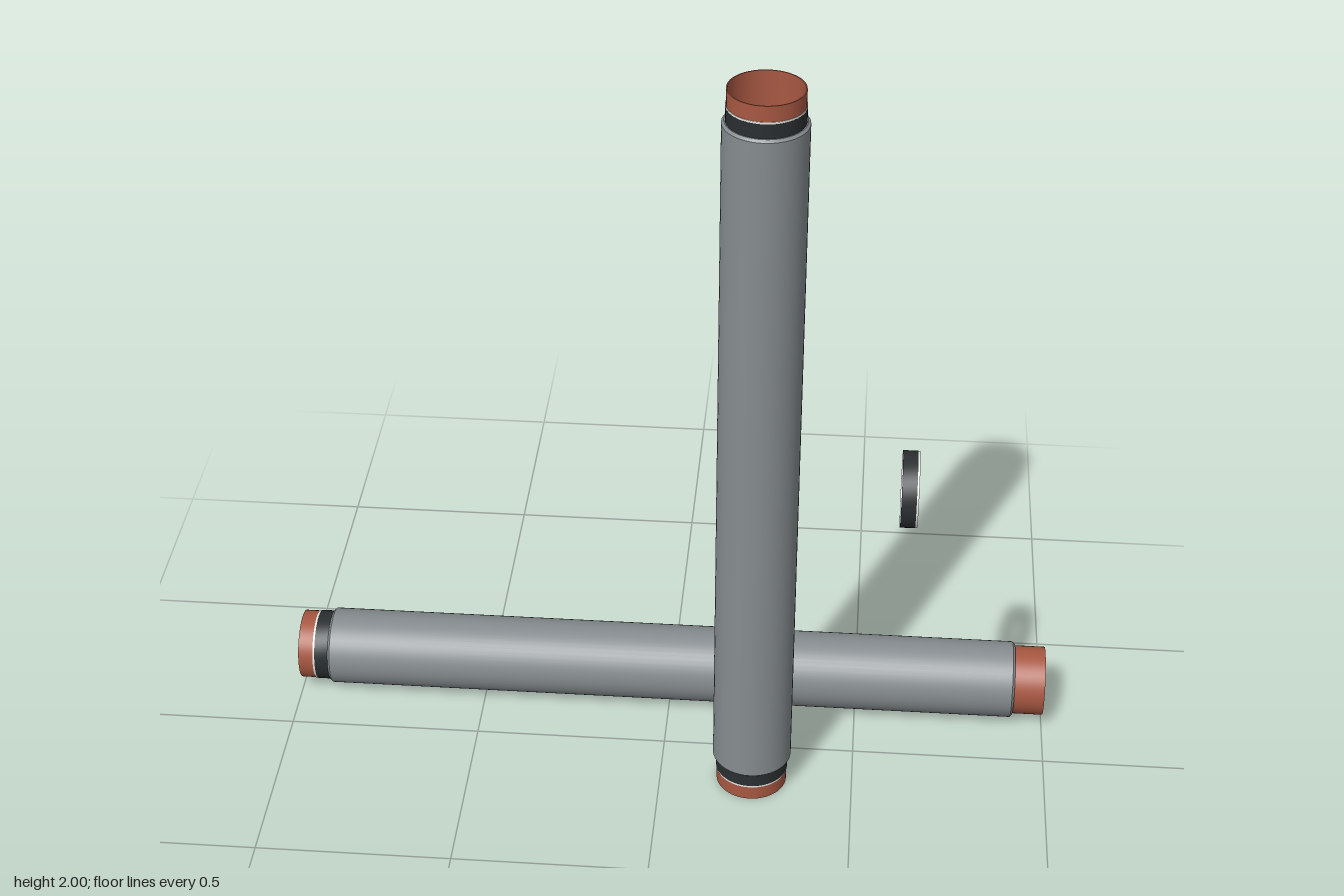
import * as THREE from 'three';
import { toCreasedNormals } from 'three/addons/utils/BufferGeometryUtils.js';

const material = (name, color) => {
  const m = new THREE.MeshStandardMaterial({ color });
  m.name = name;
  return m;
};

// Hollow sleeve around y, with an optional chamfer on its outer rims
function sleeve(name, mat, inner, outer, y0, y1, chamfer = 0) {
  const c = chamfer;
  const pts = [[inner, y0], [outer - c, y0]];
  if (c) pts.push([outer, y0 + c], [outer, y1 - c]);
  pts.push([outer - c, y1], [inner, y1], [inner, y0]);
  const geo = new THREE.LatheGeometry(pts.map(([r, y]) => new THREE.Vector2(r, y)), 48);
  const mesh = new THREE.Mesh(toCreasedNormals(geo, 0.6), mat);
  mesh.name = name;
  return mesh;
}

export function createModel() {
  const copper = material('copper', 0xa85842);
  const insulation = material('grey insulation', 0x868c8f);
  const rubber = material('dark rubber', 0x2b2f31);
  const white = material('white', 0xf2f2ee);

  // Sealing band with a white rim on its +y edge
  function sealBand() {
    const g = new THREE.Group();
    g.name = 'sealBand';
    g.add(
      sleeve('bandOuter', rubber, 0.0915, 0.0925, 0, 0.036),
      sleeve('bandRim', white, 0.0912, 0.0922, 0.036, 0.041),
      sleeve('bandLining', white, 0.0908, 0.0915, 0, 0.036)
    );
    return g;
  }

  // Insulated pipe, 2 long, with bands at the chosen ends (+1 or -1)
  function pipe(name, bandEnds) {
    const g = new THREE.Group();
    g.name = name;
    g.add(
      sleeve('copperTube', copper, 0.088, 0.0907, -1, 1),
      sleeve('insulationJacket', insulation, 0.09, 0.101, -0.92, 0.92, 0.006)
    );
    for (const end of bandEnds) {
      const band = sealBand();
      band.position.y = end * 0.92;
      if (end < 0) band.rotation.x = Math.PI;
      g.add(band);
    }
    return g;
  }

  const model = new THREE.Group();
  model.name = 'insulatedPipes';

  const upright = pipe('uprightPipe', [1, -1]);
  upright.position.set(0.238, 1, 0.12);

  const lying = pipe('lyingPipe', [1]);
  lying.rotation.z = Math.PI / 2;
  lying.position.set(0, 0.105, -0.207);

  const loose = sealBand();
  loose.name = 'looseSealBand';
  loose.rotation.z = -Math.PI / 2;
  loose.position.set(0.584, 1, 0.213);

  model.add(upright, lying, loose);
  return model;
}
